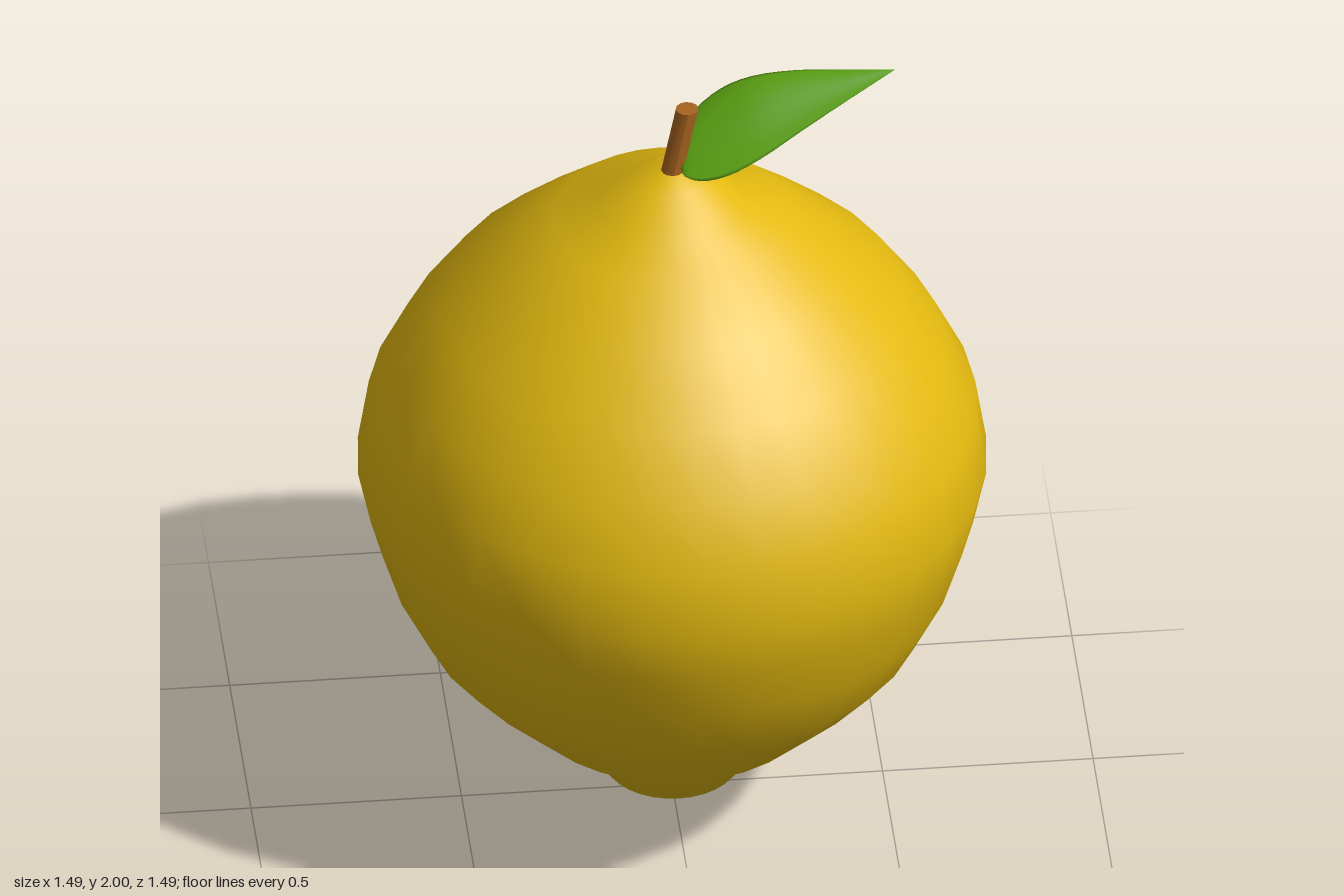
import * as THREE from 'three';

const skin = new THREE.MeshStandardMaterial({ color: 0xe3b90f });
skin.name = 'lemon yellow';
const bark = new THREE.MeshStandardMaterial({ color: 0xa8641f });
bark.name = 'stem brown';
const green = new THREE.MeshStandardMaterial({ color: 0x5aa012, side: THREE.DoubleSide });
green.name = 'leaf green';

function addPart(parent, name, geometry, material) {
  const mesh = new THREE.Mesh(geometry, material);
  mesh.name = name;
  parent.add(mesh);
  return mesh;
}

// Leaf: thin lens-shaped cross-sections between a back edge and a front edge
function leafGeometry() {
  const curve = (pts) => new THREE.CatmullRomCurve3(pts.map((p) => new THREE.Vector3(...p)));
  const back = curve([
    [0.02, 1.815, -0.025], [0.03, 1.85, -0.07], [0.06, 1.88, -0.1], [0.13, 1.925, -0.124],
    [0.2, 1.957, -0.12], [0.3, 1.978, -0.105], [0.4, 1.987, -0.085], [0.535, 1.998, -0.056],
  ]);
  const front = curve([
    [0.018, 1.803, 0.02], [0.025, 1.803, 0.055], [0.06, 1.808, 0.085], [0.12, 1.826, 0.097],
    [0.2, 1.86, 0.084], [0.3, 1.905, 0.045], [0.4, 1.948, 0.005], [0.535, 1.998, -0.055],
  ]);
  const stations = 21, ring = 16;
  const normal = new THREE.Vector3(-0.35, 0.85, 0.4).normalize();
  const positions = [], index = [];
  for (let i = 0; i <= stations; i++) {
    const f = front.getPoint(i / stations), b = back.getPoint(i / stations);
    const width = f.distanceTo(b);
    for (let j = 0; j < ring; j++) {
      const a = (j / ring) * Math.PI * 2;
      const u = (1 - Math.cos(a)) / 2;
      // Lens thickness, plus a gentle wave that lifts the back half and dips by the front edge
      const offset = width * (0.04 * Math.sin(a) - 0.035 * Math.sin(u * Math.PI * 2));
      const p = f.clone().lerp(b, u).addScaledVector(normal, offset);
      positions.push(p.x, p.y, p.z);
      if (i < stations) {
        const k = i * ring + j, next = i * ring + ((j + 1) % ring);
        index.push(k, k + ring, next + ring, k, next + ring, next);
      }
    }
  }
  // Close the base
  for (let j = 1; j < ring - 1; j++) index.push(0, j, j + 1);
  const geometry = new THREE.BufferGeometry();
  geometry.setAttribute('position', new THREE.Float32BufferAttribute(positions, 3));
  geometry.setIndex(index);
  geometry.computeVertexNormals();
  return geometry;
}

export function createModel() {
  const group = new THREE.Group();
  group.name = 'lemon';

  // Fruit body with a nipple at the bottom and a small neck at the top
  const profile = [
    [0, 0], [0.16, 0.07], [0.225, 0.16], [0.36, 0.26], [0.5, 0.4], [0.594, 0.51],
    [0.668, 0.66], [0.715, 0.81], [0.746, 0.955], [0.72, 1.12], [0.65, 1.265],
    [0.55, 1.41], [0.41, 1.54], [0.28, 1.65], [0.172, 1.692], [0.09, 1.77], [0, 1.792],
  ].map(([r, y]) => new THREE.Vector2(r, y));
  addPart(group, 'fruit', new THREE.LatheGeometry(profile, 32), skin);

  // Short stem leaning toward the leaf, cut level at the top
  const stem = new THREE.CylinderGeometry(0.027, 0.027, 0.18, 12);
  const p = stem.attributes.position;
  for (let i = 0; i < p.count; i++) p.setX(i, p.getX(i) + (p.getY(i) + 0.09) * 0.2);
  stem.computeVertexNormals();
  addPart(group, 'stem', stem, bark).position.set(0, 1.87, 0);

  addPart(group, 'leaf', leafGeometry(), green);
  return group;
}
